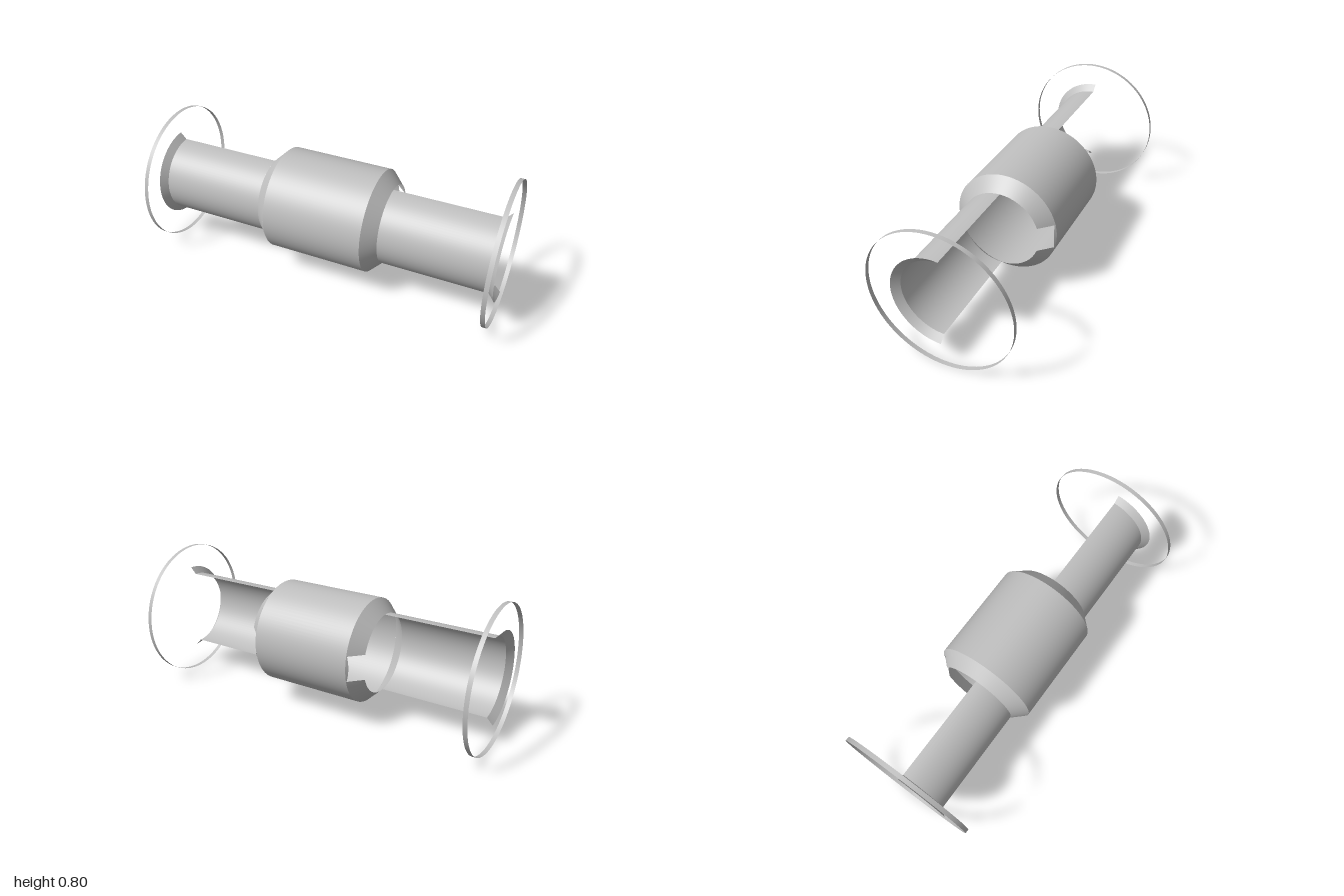
import * as THREE from 'three';

const AXIS_Y = 0.4;      // height of the long axis
const PIPE_R = 0.223, BODY_R = 0.294, RIM_R = 0.26, RING_R = 0.4;
const BODY_X = 0.288, BODY_END = 0.36, PIPE_END = 0.966;
const NOTCH_UP = 0.07, NOTCH_DOWN = 0.075, NOTCH_DEPTH = 0.282;

const metal = new THREE.MeshStandardMaterial({ color: 0xbfbfbf, side: THREE.DoubleSide });
metal.name = 'plain grey metal';

// Open shell around the x axis between x0 and x1, either full or only the front half
function shell(name, x0, x1, r0, r1, half = false) {
  const geo = new THREE.CylinderGeometry(r1, r0, x1 - x0, half ? 48 : 96, 1, true,
    half ? -Math.PI / 2 : 0, half ? Math.PI : Math.PI * 2);
  geo.rotateZ(-Math.PI / 2).translate((x0 + x1) / 2, 0, 0);
  const mesh = new THREE.Mesh(geo, metal);
  mesh.name = name;
  return mesh;
}

// Patch on the tapered shoulder: polar(u, v) gives [angle from the back, radius]
function shoulderPatch(name, side, nu, nv, polar) {
  const geo = new THREE.PlaneGeometry(1, 1, nu, nv);
  const p = geo.attributes.position;
  for (let i = 0; i < p.count; i++) {
    const [a, r] = polar(p.getX(i) + 0.5, p.getY(i) + 0.5);
    const t = (BODY_R - r) / (BODY_R - PIPE_R);
    p.setXYZ(i, side * THREE.MathUtils.lerp(BODY_X, BODY_END, t), r * Math.sin(a), -r * Math.cos(a));
  }
  // keep the winding outward on both ends
  if (side < 0) {
    const idx = geo.index.array;
    for (let i = 0; i < idx.length; i += 3) [idx[i], idx[i + 1]] = [idx[i + 1], idx[i]];
  }
  // flip so that the front face points away from the body
  const idx = geo.index.array;
  for (let i = 0; i < idx.length; i += 3) [idx[i + 1], idx[i + 2]] = [idx[i + 2], idx[i + 1]];
  geo.computeVertexNormals();
  const mesh = new THREE.Mesh(geo, metal);
  mesh.name = name;
  return mesh;
}

export function createModel() {
  const model = new THREE.Group();
  model.name = 'pipeCoupling';
  const lerp = THREE.MathUtils.lerp;

  // Wide central sleeve
  model.add(shell('sleeve', -BODY_X, BODY_X, BODY_R, BODY_R));

  for (const side of [1, -1]) {
    const end = new THREE.Group();
    end.name = side > 0 ? 'leftEnd' : 'rightEnd';

    // Tapered shoulder, cut by a rectangular notch at the back
    end.add(shoulderPatch('shoulder', side, 96, 3, (u, v) => {
      const r = lerp(PIPE_R, BODY_R, v);
      return [lerp(Math.asin(NOTCH_UP / r), 2 * Math.PI - Math.asin(NOTCH_DOWN / r), u), r];
    }));
    end.add(shoulderPatch('notchSill', side, 10, 1, (u, v) => {
      const a = lerp(-Math.asin(NOTCH_DOWN / BODY_R), Math.asin(NOTCH_UP / BODY_R), u);
      return [a, lerp(NOTCH_DEPTH / Math.cos(a), BODY_R, v)];
    }));

    // Half pipe with flared lip, and the loose thin ring around its end
    const span = (name, a, b, ra, rb, half) => end.add(side > 0
      ? shell(name, a, b, ra, rb, half)
      : shell(name, -b, -a, rb, ra, half));
    span('halfPipe', BODY_END, PIPE_END, PIPE_R, PIPE_R, true);
    span('flaredLip', PIPE_END, 1, PIPE_R, RIM_R, true);
    span('endRing', 0.976, 1, RING_R, RING_R, false);
    model.add(end);
  }

  model.children.forEach((c) => { c.position.y = AXIS_Y; });
  return model;
}
